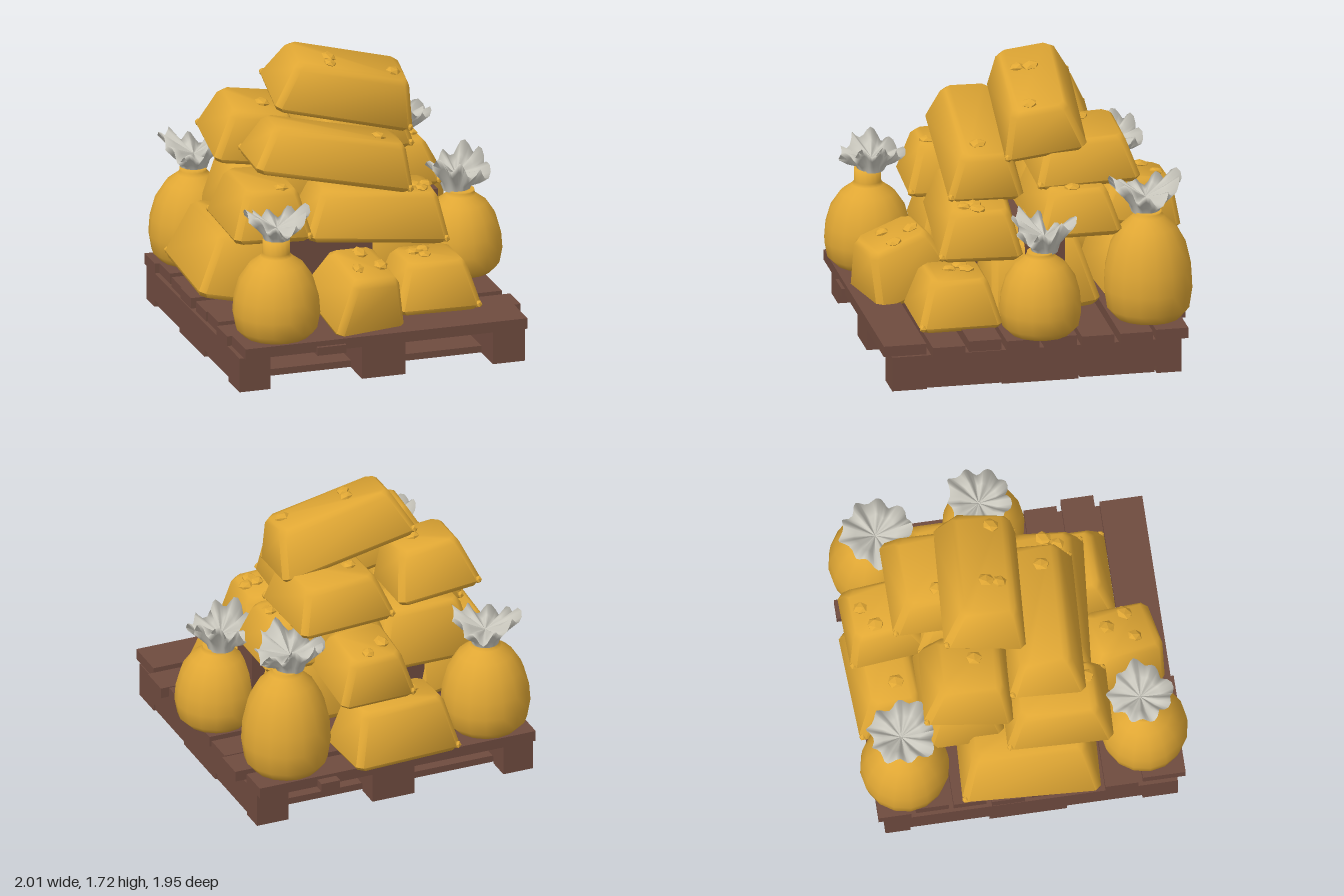
import * as THREE from 'three';
import { toCreasedNormals } from 'three/addons/utils/BufferGeometryUtils.js';

const material = (name, color, side = THREE.FrontSide) => {
  const m = new THREE.MeshStandardMaterial({ color, side });
  m.name = name;
  return m;
};
const gold = material('gold', 0xe0a734);
const wood = material('brown wood', 0x6f4b3f);
const cloth = material('grey cloth', 0xcac8be, THREE.DoubleSide);

const add = (parent, name, geometry, mat, x = 0, y = 0, z = 0) => {
  const mesh = new THREE.Mesh(geometry, mat);
  mesh.name = name;
  mesh.position.set(x, y, z);
  parent.add(mesh);
  return mesh;
};
const group = (parent, name) => {
  const g = new THREE.Group();
  g.name = name;
  parent.add(g);
  return g;
};
const box = (parent, name, x0, x1, y0, y1, z0, z1) =>
  add(parent, name, new THREE.BoxGeometry(x1 - x0, y1 - y0, z1 - z0), wood,
    (x0 + x1) / 2, (y0 + y1) / 2, (z0 + z1) / 2);

// Tapered bar with chamfered corners, lofted from octagonal sections
function ingotGeometry(l, h, w) {
  const levels = [[-h / 2, 0.02], [-h / 2 + 0.03, 0], [h / 2 - 0.03, 0.07], [h / 2, 0.095]];
  const pos = [], idx = [], c = 0.035;
  for (const [y, inset] of levels) {
    const a = l / 2 - inset, b = w / 2 - inset;
    const ring = [[a, b - c], [a, c - b], [a - c, -b], [c - a, -b], [-a, c - b], [-a, b - c], [c - a, b], [a - c, b]];
    for (const [x, z] of ring) pos.push(x, y, z);
  }
  for (let k = 0; k < 3; k++) {
    for (let i = 0; i < 8; i++) {
      const a = k * 8 + i, b = k * 8 + (i + 1) % 8;
      idx.push(a, b, b + 8, a, b + 8, a + 8);
    }
  }
  for (let i = 1; i < 7; i++) idx.push(0, i + 1, i, 24, 24 + i, 24 + i + 1);
  const g = new THREE.BufferGeometry();
  g.setAttribute('position', new THREE.Float32BufferAttribute(pos, 3));
  g.setIndex(idx);
  return toCreasedNormals(g, 0.95);
}

// Ingot with rotation in degrees and nuggets at the given spots on its top
const nugget = new THREE.IcosahedronGeometry(1, 0);
function addIngot(parent, centre, [l, h, w], [rx, ry, rz], ...spots) {
  const rad = THREE.MathUtils.degToRad;
  const bar = group(parent, 'ingot');
  bar.position.set(...centre);
  bar.rotation.set(rad(rx), rad(ry), rad(rz), 'YXZ');
  add(bar, 'ingotBody', ingotGeometry(l, h, w), gold);
  spots.forEach(([x, z], i) => {
    const n = add(bar, 'nugget', nugget, gold, x, h / 2 + 0.005, z);
    n.scale.set(0.045, 0.02, 0.055 - 0.014 * (i % 2));
    n.rotation.y = i * 1.3;
  });
  // Small crumbs on two lower corners
  for (const s of [1, -1])
    add(bar, 'crumb', nugget, gold, s * (l / 2 - 0.02), 0.03 - h / 2, s * (w / 2 - 0.02)).scale.setScalar(0.024);
}

// Crumpled cloth opening: a folded funnel whose inside is a shallow dish
function frillGeometry(r, h, phase) {
  const pts = [[0.42, 0], [0.5, 0.22], [0.75, 0.5], [1, 0.75], [0.6, 0.6], [0, 0.42]]
    .map(([x, y]) => new THREE.Vector2(x * r, y * h));
  const g = new THREE.LatheGeometry(pts, 54);
  const p = g.attributes.position;
  for (let i = 0; i < p.count; i++) {
    const x = p.getX(i), y = p.getY(i), z = p.getZ(i);
    const a = Math.atan2(z, x), t = Math.hypot(x, z) / r * Math.min(1, y / h * 2);
    const s = 1 + t * (Math.cos(9 * a + phase) * 0.08 + Math.cos(4 * a + phase * 2) * 0.07);
    const lift = t * h * (0.17 * Math.cos(9 * a + phase + 1.5) + 0.2 * Math.cos(2 * a + phase));
    p.setXYZ(i, x * s, y + lift, z * s);
  }
  g.computeVertexNormals();
  return g;
}

// Sack: round body with a tied neck and a frill
function addSack(parent, [x, z], r, h, neck, [fx, fz], [frillR, frillH], phase) {
  const sack = group(parent, 'sack');
  sack.position.set(x, 0.28, z);
  const pts = [[0, 0], [0.74, 0], [0.93, 0.1], [1, 0.3], [0.97, 0.5], [0.85, 0.72], [0.62, 0.9], [0.36, 1]]
    .map(([px, py]) => new THREE.Vector2(px * r, py * h));
  pts.push(new THREE.Vector2(0.08, h + 0.02), new THREE.Vector2(0.08, h + neck), new THREE.Vector2(0, h + neck));
  add(sack, 'sackBody', new THREE.LatheGeometry(pts, 16), gold);
  add(sack, 'sackFrill', frillGeometry(frillR, frillH, phase), cloth, fx, h + neck - 0.01, fz);
}

function addPallet(parent) {
  const pallet = group(parent, 'pallet');
  // Notched stringers with feet
  for (const [x0, x1] of [[-0.92, -0.73], [-0.16, 0.11], [0.65, 0.85]]) {
    box(pallet, 'stringer', x0, x1, 0.045, 0.21, -0.85, 0.89);
    for (const [z0, z1] of [[0.68, 0.89], [-0.23, 0.23], [-0.85, -0.7]])
      box(pallet, 'stringerFoot', x0, x1, 0, 0.045, z0, z1);
  }
  for (const z of [0.23, -0.69]) box(pallet, 'bottomBoard', -0.9, 0.84, 0.004, 0.045, z, z + 0.45);
  // Deck boards with uneven right ends; the front one is wider
  [0.85, 0.91, 0.88, 0.88, 0.87, 0.86, 0.9, 0.85].forEach((x1, i) => {
    const z = -0.89 + i * 0.225, lift = (i % 2) * 0.012;
    box(pallet, 'deckBoard', i % 3 ? -0.9 : -0.92, x1, 0.205 + lift, 0.27 + lift, z, i === 7 ? 0.94 : z + 0.195);
  });
  box(pallet, 'frontCleat', -0.46, -0.28, 0.2, 0.25, 0.8, 0.96);
  box(pallet, 'backCleat', 0.36, 0.48, 0.2, 0.25, -0.95, -0.8);
}

export function createModel() {
  const model = new THREE.Group();
  model.name = 'loadedPallet';
  addPallet(model);

  // Wooden core under the pile
  box(model, 'core', -0.45, 0.1, 0.26, 0.69, -0.33, 0.3);
  box(model, 'core', 0.3, 0.6, 0.5, 0.81, -0.2, 0.02);

  // Bottom layer of ingots
  const pile = group(model, 'ingotPile');
  addIngot(pile, [-0.08, 0.44, -0.72], [0.68, 0.34, 0.45], [0, 3, 0], [-0.13, 0.03]);
  addIngot(pile, [-0.68, 0.57, 0.03], [0.56, 0.38, 0.82], [0, -3, -12], [-0.1, 0.1]);
  addIngot(pile, [-0.11, 0.48, 0.66], [0.46, 0.34, 0.53], [18, 10, -5], [0.03, -0.12], [-0.06, 0.03], [0.1, 0.02]);
  addIngot(pile, [0.4, 0.42, 0.43], [0.52, 0.29, 0.5], [0, 0, -1], [-0.08, -0.05], [-0.03, 0.02], [-0.01, -0.08]);
  addIngot(pile, [0.29, 0.53, -0.07], [0.56, 0.44, 0.66], [8, 0, 0], [0.1, 0.1]);

  // Middle layer
  addIngot(pile, [0.11, 0.83, 0.25], [0.86, 0.29, 0.5], [0, -5, -5], [0.24, 0.03], [0.27, 0.09], [0.31, 0.01]);
  addIngot(pile, [-0.57, 0.92, 0.22], [0.48, 0.3, 0.63], [0, -2, -2], [0.07, 0.18]);
  addIngot(pile, [0.25, 0.94, -0.29], [0.8, 0.27, 0.5], [0, 0, 0], [0.27, 0.03]);
  addIngot(pile, [0.11, 0.88, -0.72], [0.48, 0.28, 0.5], [-10, 2, 0], [-0.09, -0.03], [0.03, -0.1]);
  addIngot(pile, [-0.38, 0.85, -0.33], [0.62, 0.35, 0.48], [0, 0, 0], [-0.1, 0]);

  // Upper layer and the ingot on top
  addIngot(pile, [-0.13, 1.185, 0.19], [0.98, 0.27, 0.45], [0, -3, -12.5], [0.27, 0.03]);
  addIngot(pile, [-0.46, 1.23, -0.29], [0.52, 0.3, 0.53], [7, -5, -8], [0.04, 0.02]);
  addIngot(pile, [0.19, 1.21, -0.37], [0.6, 0.27, 0.62], [2, 0, -3], [-0.13, -0.03]);
  addIngot(pile, [0.05, 1.485, -0.13], [0.86, 0.29, 0.49], [9, -6, -14], [-0.12, -0.01], [-0.13, 0.07], [0.27, 0.05]);

  // Sacks around the pile
  addSack(model, [-0.64, 0.73], 0.26, 0.49, 0.1, [0.01, -0.02], [0.18, 0.18], 0);
  addSack(model, [0.755, -0.02], 0.245, 0.47, 0.03, [-0.02, -0.03], [0.185, 0.22], 1.7);
  addSack(model, [0.6, -0.7], 0.265, 0.62, 0.03, [-0.03, 0.01], [0.2, 0.21], 3.4);
  addSack(model, [-0.68, -0.7], 0.265, 0.53, 0.04, [0.01, -0.02], [0.19, 0.2], 5.1);
  return model;
}
